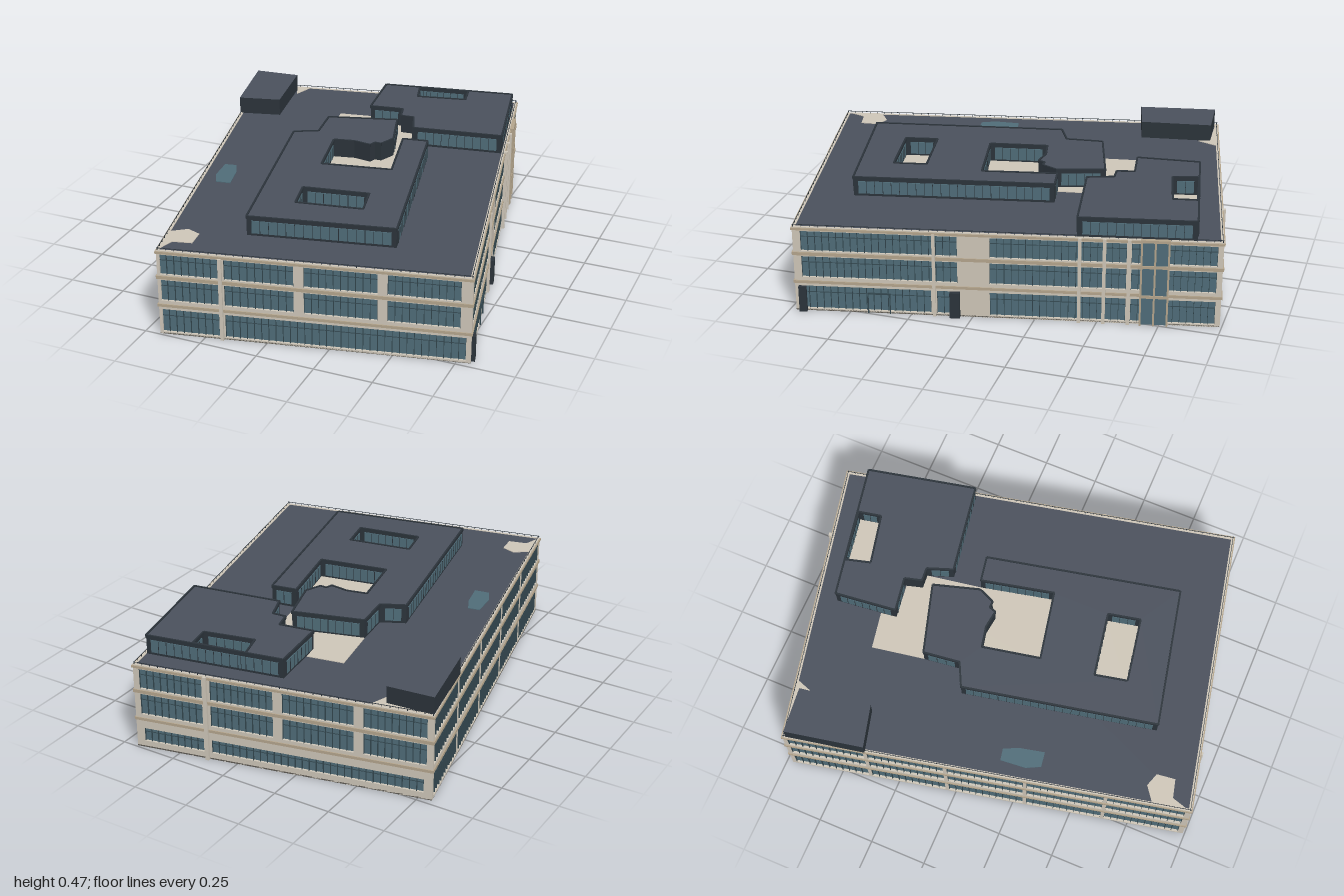
import * as THREE from 'three';
import { mergeGeometries } from 'three/addons/utils/BufferGeometryUtils.js';

const mat = (color) => new THREE.MeshStandardMaterial({ color });
const STONE = mat(0xcdc5b7), GLASS = mat(0x4f6c78), DARK = mat(0x2b333a);
const ROOF = mat(0x4a505c), BASE = mat(0x5f5c55), FIN = mat(0x33474f), BAND = mat(0xb3a48c);

const W = 1.27, D = 1.755, SKEW = 0.2135;
const FLOORS = [[0.01, 0.115], [0.155, 0.25], [0.275, 0.365]];

function add(parent, name, geometry, material) {
  const mesh = new THREE.Mesh(geometry, material);
  mesh.name = name;
  parent.add(mesh);
  return mesh;
}

// Box given by its lower and upper limits on each axis
const box = (x0, x1, y0, y1, z0, z1) =>
  new THREE.BoxGeometry(x1 - x0, y1 - y0, z1 - z0)
    .translate((x0 + x1) / 2, (y0 + y1) / 2, (z0 + z1) / 2);

// Upright prism over a plan outline of [x, z] points, with optional holes
function prism(points, y0, y1, holes = []) {
  const flip = (list) => list.map(([x, z]) => new THREE.Vector2(x, -z));
  const shape = new THREE.Shape(flip(points));
  holes.forEach((h) => shape.holes.push(new THREE.Path(flip(h))));
  return new THREE.ExtrudeGeometry(shape, { depth: y1 - y0, bevelEnabled: false })
    .rotateX(-Math.PI / 2).translate(0, y0, 0);
}

// One outer wall: stone plate with window openings, fins, bands and railing
function facade(name, length, offset, turn, windows) {
  const g = new THREE.Group();
  g.name = name;
  const h = length / 2;
  const plate = new THREE.Shape();
  plate.moveTo(-h, 0).lineTo(h, 0).lineTo(h, 0.383).lineTo(-h, 0.383).closePath();
  const fins = [];
  windows.forEach(([x0, x1, y0, y1]) => {
    const hole = new THREE.Path();
    hole.moveTo(x0, y0).lineTo(x0, y1).lineTo(x1, y1).lineTo(x1, y0).closePath();
    plate.holes.push(hole);
    const n = Math.max(2, Math.round((x1 - x0) / 0.03));
    for (let i = 0; i <= n; i++) {
      const x = x0 + ((x1 - x0) * i) / n;
      fins.push(box(x - 0.001, x + 0.001, y0, y1, -0.012, -0.002));
    }
    const ym = y0 + (y1 - y0) * 0.7;
    fins.push(box(x0, x1, ym - 0.001, ym + 0.001, -0.012, -0.006));
  });
  add(g, 'stoneWall', new THREE.ExtrudeGeometry(plate, { depth: 0.012, bevelEnabled: false })
    .translate(0, 0, -0.012), STONE);
  add(g, 'windowFins', mergeGeometries(fins), FIN);
  const bands = [[0.128, 0.14], [0.256, 0.27], [0.37, 0.38]]
    .map(([a, b]) => box(-h - 0.004, h + 0.004, a, b, -0.002, 0.005));
  add(g, 'floorBands', mergeGeometries(bands), BAND);
  // Roof edge railing
  const rail = [box(-h, h, 0.391, 0.393, -0.006, -0.004)];
  const count = Math.round(length / 0.035);
  for (let i = 0; i <= count; i++) {
    const x = -h + 0.003 + ((length - 0.006) * i) / count;
    rail.push(box(x - 0.001, x + 0.001, 0.38, 0.392, -0.006, -0.004));
  }
  add(g, 'railing', mergeGeometries(rail), DARK);
  g.rotation.y = turn;
  g.position.set(Math.sin(turn) * offset, 0, Math.cos(turn) * offset);
  return g;
}

// Openings for a list of bays on the given floors
const bays = (list, floors) => floors.flatMap((f) => list.map(([a, b]) => [a, b, ...FLOORS[f]]));

// Rooftop storey with glazed strips along every long wall
function penthouse(name, outline, holes) {
  const g = new THREE.Group();
  g.name = name;
  add(g, 'walls', prism(outline, 0.37, 0.465, holes), [ROOF, DARK]);
  const glass = [], fins = [];
  [outline, ...holes].forEach((loop) => loop.forEach(([ax, az], i) => {
    const [bx, bz] = loop[(i + 1) % loop.length];
    const len = Math.hypot(bx - ax, bz - az);
    // Dark coping round the roof edge
    const place = (geo) => geo.rotateY(-Math.atan2(bz - az, bx - ax))
      .translate((ax + bx) / 2, 0, (az + bz) / 2);
    const l = len / 2;
    fins.push(place(box(-l, l, 0.455, 0.469, -0.004, 0.004)));
    if (len < 0.1) return;
    const e = l - 0.02;
    glass.push(place(box(-e, e, 0.392, 0.448, -0.003, 0.003)));
    const n = Math.round((2 * e) / 0.035);
    for (let k = 0; k <= n; k++) {
      const x = -e + (2 * e * k) / n;
      fins.push(place(box(x - 0.001, x + 0.001, 0.392, 0.448, -0.005, 0.005)));
    }
  }));
  add(g, 'windows', mergeGeometries(glass), GLASS);
  add(g, 'frames', mergeGeometries(fins), DARK);
  return g;
}

export function createModel() {
  const model = new THREE.Group();
  model.name = 'officeBuilding';
  const block = new THREE.Group();
  block.name = 'mainBlock';
  block.rotation.y = SKEW;
  model.add(block);

  // Glazed core, ground slab and roof slab
  const w = W / 2, d = D / 2, t = 0.01;
  add(block, 'glassCore', box(-w + t, w - t, 0.005, 0.365, -d + t, d - t), GLASS);
  add(block, 'groundSlab', box(-w, w, 0, 0.006, -d, d), BASE);
  add(block, 'roofSlab', box(-w + 0.004, w - 0.004, 0.365, 0.381, -d + 0.004, d - 0.004), ROOF);

  // Four outer walls
  block.add(facade('frontFacade', W, d, 0, [
    ...bays([[-0.625, -0.385], [-0.36, 0.615]], [0]),
    ...bays([[-0.625, -0.385], [-0.36, -0.077], [-0.036, 0.26], [0.3, 0.59]], [1, 2]),
  ]));
  block.add(facade('rightFacade', D, w, Math.PI / 2, [
    ...bays([[-0.85, -0.31], [-0.285, -0.2], [-0.067, 0.49], [0.51, 0.855]], [0]),
    ...bays([[-0.845, -0.2], [-0.067, 0.49], [0.51, 0.855]], [1, 2]),
  ]));
  block.add(facade('backFacade', W, d, Math.PI, [
    [-0.6, -0.335, 0.03, 0.09], [-0.3, 0.6, 0.03, 0.09],
    ...bays([[-0.61, -0.335], [-0.3, -0.03], [0.01, 0.31], [0.35, 0.61]], [1, 2]),
  ]));
  const sideBays = [0, 1, 2, 3, 4].map((i) => [-0.86 + i * 0.346, -0.86 + i * 0.346 + 0.33]);
  block.add(facade('leftFacade', D, w, -Math.PI / 2, bays(sideBays, [0, 1, 2])));

  // Slim projecting columns
  const columns = [
    box(-0.381, -0.367, 0, 0.372, d, d + 0.012),
    box(0.31, 0.325, 0, 0.385, -d - 0.014, -d),
    box(w, w + 0.01, 0, 0.375, 0.29, 0.303),
  ];
  [-0.3, -0.4, -0.5].forEach((v) => columns.push(box(w, w + 0.014, 0, 0.385, v - 0.007, v + 0.007)));
  add(block, 'columns', mergeGeometries(columns), STONE);

  // Shallow glazed bay on the right wall
  add(block, 'bayGlass', box(w, w + 0.012, 0.005, 0.38, -0.66, -0.55), GLASS);
  const bayTrim = FLOORS.map(([, b]) => box(w, w + 0.017, b + 0.012, b + 0.024, -0.665, -0.545));
  [-0.66, -0.605, -0.55].forEach((v) => bayTrim.push(box(w, w + 0.017, 0, 0.385, v - 0.004, v + 0.004)));
  add(block, 'bayTrim', mergeGeometries(bayTrim), BAND);

  // Dark entrance porches on the right wall
  add(block, 'entrances', mergeGeometries([
    box(w, w + 0.02, 0, 0.115, 0.19, 0.232),
    box(w, w + 0.015, 0, 0.115, 0.83, 0.862),
  ]), DARK);
  add(block, 'entranceFrame', mergeGeometries([
    box(w, w + 0.006, 0.088, 0.094, 0.48, 0.575),
    box(w, w + 0.006, 0, 0.09, 0.48, 0.484),
    box(w, w + 0.006, 0, 0.09, 0.571, 0.575),
  ]), FIN);

  // Rooftop storeys, with light courts and a sheltered courtyard
  const frontHole = [[-0.06, 0.4], [0.22, 0.35], [0.25, 0.49], [-0.03, 0.54]];
  const backHole = [[0.01, -0.8], [0.24, -0.84], [0.26, -0.74], [0.04, -0.69]];
  model.add(penthouse('frontPenthouse', [
    [-0.33, -0.1], [-0.16, 0.73], [0.44, 0.6], [0.26, -0.235], [0.15, -0.215],
    [0.22, 0.1], [-0.08, 0.16], [-0.13, -0.09], [-0.04, -0.11], [0.04, -0.1],
    [0.05, -0.13], [0.08, -0.13], [0.11, -0.2], [0.05, -0.4], [-0.25, -0.31], [-0.23, -0.15],
  ], [frontHole]));
  model.add(penthouse('backPenthouse', [
    [-0.15, -0.77], [-0.12, -0.5], [0.03, -0.525], [0.05, -0.45], [0.11, -0.455],
    [0.15, -0.345], [0.545, -0.412], [0.443, -0.885],
  ], [backHole]));
  add(model, 'plantRoom', prism(
    [[-0.8, -0.71], [-0.6, -0.73], [-0.55, -0.42], [-0.733, -0.372]], 0.375, 0.458), [ROOF, DARK]);

  // Pale paving on the roof
  [
    frontHole, backHole,
    [[-0.29, -0.54], [-0.13, -0.57], [-0.12, -0.5], [0.03, -0.52], [0.05, -0.45], [0.11, -0.455],
      [0.15, -0.215], [0.22, 0.1], [-0.08, 0.16], [-0.13, -0.09], [-0.04, -0.11], [0.05, -0.4], [-0.25, -0.31]],
    [[-0.468, 0.83], [-0.4, 0.78], [-0.34, 0.8], [-0.33, 0.88], [-0.41, 0.9], [-0.433, 0.978]],
    [[-0.79, -0.715], [-0.55, -0.767], [-0.58, -0.68], [-0.6, -0.73]],
  ].forEach((p) => add(model, 'roofPaving', prism(p, 0.376, 0.384), STONE));
  add(model, 'roofGlass', prism(
    [[-0.54, 0.17], [-0.49, 0.16], [-0.46, 0.22], [-0.435, 0.33], [-0.5, 0.34], [-0.53, 0.28]], 0.376, 0.384), GLASS);
  return model;
}
